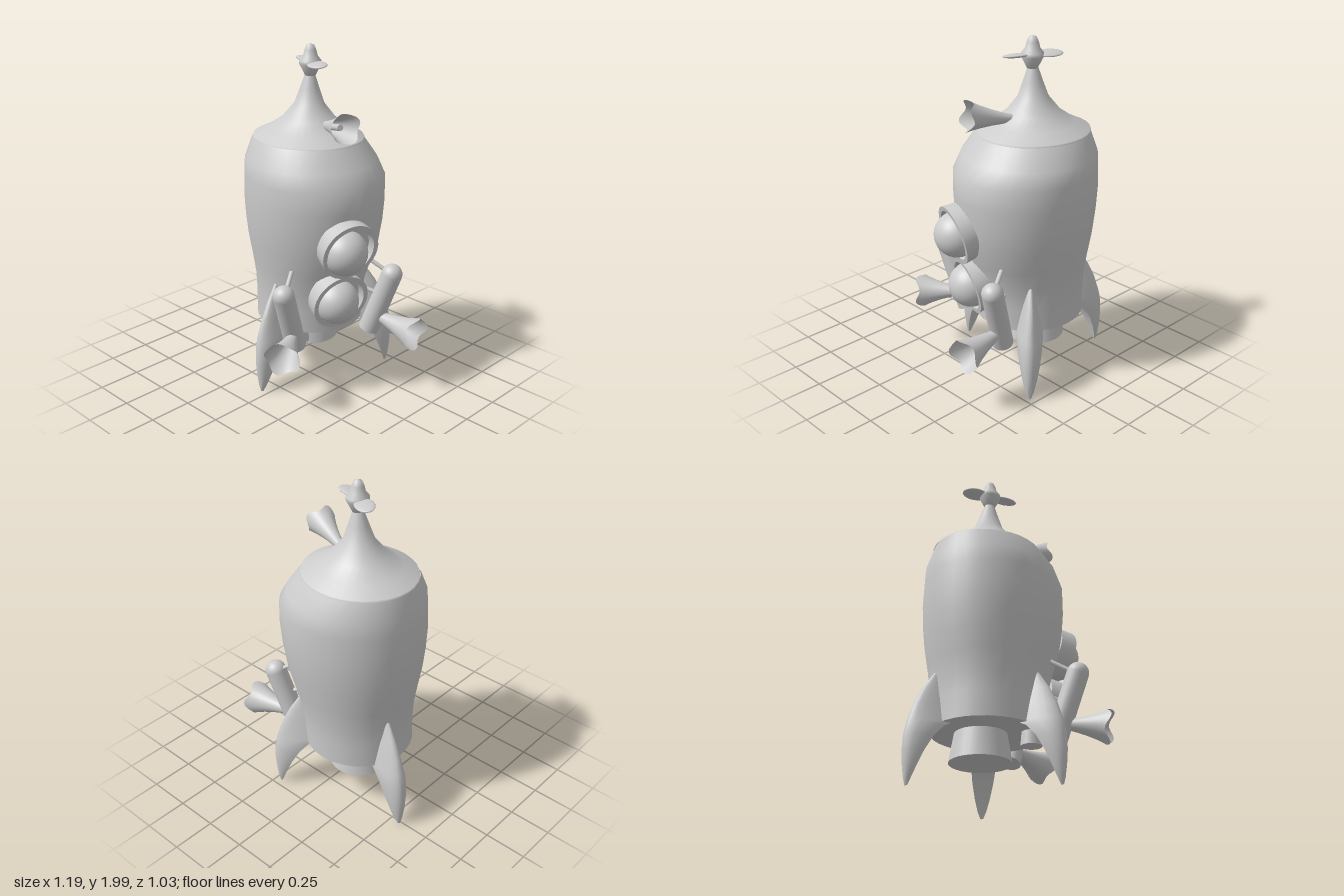
import * as THREE from 'three';
import { toCreasedNormals } from 'three/addons/utils/BufferGeometryUtils.js';

const UP = new THREE.Vector3(0, 1, 0);
const V = (a) => new THREE.Vector3(...a);
const material = new THREE.MeshStandardMaterial({ color: 0xcccccc });
const thinMaterial = new THREE.MeshStandardMaterial({ color: 0xcccccc, side: THREE.DoubleSide });

function part(name, geometry, mat = material) {
  const mesh = new THREE.Mesh(geometry, mat);
  mesh.name = name;
  return mesh;
}

// Skin over closed rings stacked upwards; point(level, angle) gives [x, y, z]
function loft(levels, sides, point) {
  const positions = [], index = [];
  levels.forEach((level, j) => {
    for (let i = 0; i < sides; i++) {
      positions.push(...point(level, (i / sides) * Math.PI * 2));
      if (j === levels.length - 1) continue;
      const a = j * sides + i, b = j * sides + ((i + 1) % sides);
      index.push(a, a + sides, b, b, a + sides, b + sides);
    }
  });
  const g = new THREE.BufferGeometry();
  g.setAttribute('position', new THREE.Float32BufferAttribute(positions, 3));
  g.setIndex(index);
  g.computeVertexNormals();
  return g;
}

function lathe(points, sides = 32, crease = 0) {
  const g = new THREE.LatheGeometry(points.map((p) => new THREE.Vector2(...p)), sides);
  return crease ? toCreasedNormals(g, crease) : g;
}

// Places an object built along +y at a point, aimed in a direction
function aim(object, at, direction) {
  object.position.copy(V(at));
  object.quaternion.setFromUnitVectors(UP, V(direction).normalize());
  return object;
}

function rod(name, from, to, radius, sides = 24) {
  const a = V(from), b = V(to), d = b.clone().sub(a);
  const mesh = part(name, new THREE.CylinderGeometry(radius, radius, d.length(), sides));
  return aim(mesh, a.add(b).multiplyScalar(0.5).toArray(), d.toArray());
}

// Flared horn with a wavy rim
function horn(name, from, to, radius) {
  const d = V(to).sub(V(from)), len = d.length();
  const levels = [[0, 0.26, 0], [0.25, 0.36, 0], [0.5, 0.52, 0], [0.72, 0.7, 0.1], [0.9, 0.88, 0.5], [1, 1, 1]];
  const g = loft(levels, 32, ([t, r, wave], a) => {
    const ripple = wave * Math.cos(a * 4 + 0.6);
    const rr = radius * r * (1 + 0.05 * ripple);
    return [rr * Math.cos(a), t * len + 0.016 * ripple, rr * Math.sin(a)];
  });
  return aim(part(name, g, thinMaterial), from, d.toArray());
}

// Round window: rim with a recess and a bulging lens
function porthole(name, rimAt, lensAt) {
  const group = new THREE.Group();
  group.name = name;
  const rim = lathe([[0, -0.06], [0.165, -0.06], [0.175, 0.035], [0.148, 0.035], [0.14, -0.01], [0, -0.01]], 32, 0.6);
  group.add(aim(part('windowRim', rim), rimAt, [0.93, -0.23, 0.29]));
  const lens = part('windowLens', new THREE.SphereGeometry(0.132, 32, 20));
  lens.position.set(...lensAt);
  group.add(lens);
  return group;
}

// Slanted pipe with a domed top, side horn and two thin struts
function exhaustPipe(name, top, bottom, hornFrom, hornTo, struts) {
  const group = new THREE.Group();
  group.name = name;
  const dome = part('pipeDome', new THREE.SphereGeometry(0.062, 24, 16));
  dome.position.set(...top);
  group.add(rod('pipe', bottom, top, 0.062), dome, horn('pipeHorn', hornFrom, hornTo, 0.1));
  for (const [a, b] of struts) group.add(rod('pipeStrut', a, b, 0.013, 10));
  return group;
}

export function createModel() {
  const model = new THREE.Group();
  model.name = 'rocket';

  // Hull, leaning outwards on its left: [y, centre x, radius x, radius z]
  const hull = [
    [0.36, -0.115, 0.322, 0.312], [0.5, -0.112, 0.322, 0.314], [0.62, -0.103, 0.335, 0.325],
    [0.74, -0.092, 0.366, 0.345], [0.87, -0.081, 0.4, 0.37], [1.0, -0.077, 0.417, 0.386],
    [1.13, -0.075, 0.425, 0.395], [1.26, -0.073, 0.422, 0.392], [1.35, -0.1, 0.388, 0.38],
    [1.47, -0.128, 0.33, 0.31],
  ];
  const hullZ = -0.115;
  model.add(part('hull', loft(hull, 32, ([y, cx, rx, rz], a) =>
    [cx + rx * Math.cos(a), y, hullZ + rz * Math.sin(a)])));
  const floor = part('hullFloor', new THREE.CircleGeometry(1, 32));
  floor.rotation.x = Math.PI / 2;
  floor.scale.set(0.322, 0.312, 1);
  floor.position.set(-0.115, 0.36, hullZ);
  model.add(floor);

  // Flared roof rising to the spire
  const roof = [[1.465, 0.334], [1.475, 0.33], [1.515, 0.245], [1.575, 0.158], [1.66, 0.088], [1.75, 0.055], [1.83, 0.028]];
  model.add(part('roof', loft(roof, 32, ([y, r], a) => {
    const t = (1.83 - y) / 0.365;
    return [-0.115 - 0.012 * t + r * Math.cos(a), y, -0.12 + r * (1 - 0.07 * t) * Math.sin(a)];
  }), thinMaterial));

  // Spinner and two blades
  const propeller = new THREE.Group();
  propeller.name = 'propeller';
  propeller.position.set(-0.112, 0, -0.12);
  propeller.add(part('spinner', lathe([[0, 1.81], [0.03, 1.82], [0.045, 1.85], [0.063, 1.885], [0.062, 1.905],
    [0.042, 1.93], [0.033, 1.965], [0.022, 1.99], [0, 2]], 24)));
  for (const side of [-1, 1]) {
    const arm = new THREE.Group();
    arm.rotation.y = side > 0 ? -0.38 : Math.PI - 0.48;
    const blade = part('propellerBlade', new THREE.SphereGeometry(1, 24, 12));
    blade.scale.set(0.08, 0.012, 0.052);
    blade.position.set(0.095, 1.895, 0);
    blade.rotation.x = 0.15;
    arm.add(blade);
    propeller.add(arm);
  }
  model.add(propeller);

  // Roof horn
  model.add(horn('roofHorn', [0.01, 1.555, -0.11], [0.265, 1.6, -0.01], 0.085));
  model.add(rod('roofHornStem', [0.0, 1.55, -0.11], [0.2, 1.59, -0.037], 0.018, 12));

  // Portholes
  model.add(porthole('upperPorthole', [0.32, 0.925, 0.018], [0.313, 0.91, 0.038]));
  model.add(porthole('lowerPorthole', [0.238, 0.588, 0.003], [0.232, 0.575, 0.015]));

  // Exhaust pipes
  model.add(exhaustPipe('frontPipe', [0.13, 0.68, 0.335], [0.09, 0.31, 0.205],
    [0.11, 0.4, 0.235], [0.24, 0.37, 0.455],
    [[[0.05, 0.77, 0.19], [0.12, 0.69, 0.31]], [[0.01, 0.585, 0.16], [0.1, 0.51, 0.26]]]));
  model.add(exhaustPipe('backPipe', [0.37, 0.685, -0.312], [0.245, 0.31, -0.262],
    [0.28, 0.405, -0.28], [0.57, 0.37, -0.298],
    [[[0.22, 0.78, -0.24], [0.34, 0.7, -0.3]], [[0.15, 0.6, -0.2], [0.3, 0.55, -0.28]]]));

  // Three curved fins: [y, inner radius, outer radius, half width]
  const fin = [
    [0.01, 0.467, 0.478, 0.008], [0.05, 0.455, 0.487, 0.025], [0.12, 0.432, 0.496, 0.044], [0.2, 0.4, 0.501, 0.06],
    [0.28, 0.355, 0.497, 0.071], [0.34, 0.3, 0.487, 0.077], [0.37, 0.24, 0.48, 0.077],
    [0.46, 0.25, 0.45, 0.058], [0.56, 0.28, 0.4, 0.034], [0.655, 0.31, 0.335, 0.012],
  ];
  const finGeometry = toCreasedNormals(loft(fin, 24, ([y, inner, outer, w], a) =>
    [inner + (outer - inner) * Math.max(0, Math.cos(a)), y, w * Math.sin(a)]), 0.9);
  for (const angle of [198, 82, 314]) {
    const mesh = part('fin', finGeometry, thinMaterial);
    mesh.position.set(-0.112, 0, hullZ);
    mesh.rotation.y = -THREE.MathUtils.degToRad(angle);
    model.add(mesh);
  }

  // Main and small nozzles
  const mainNozzle = part('mainNozzle', new THREE.CylinderGeometry(0.145, 0.175, 0.18, 32));
  mainNozzle.position.set(-0.14, 0.285, -0.137);
  const smallNozzle = part('smallNozzle', new THREE.CylinderGeometry(0.052, 0.06, 0.1, 24));
  smallNozzle.position.set(0.01, 0.33, 0.098);
  model.add(mainNozzle, smallNozzle);

  return model;
}
